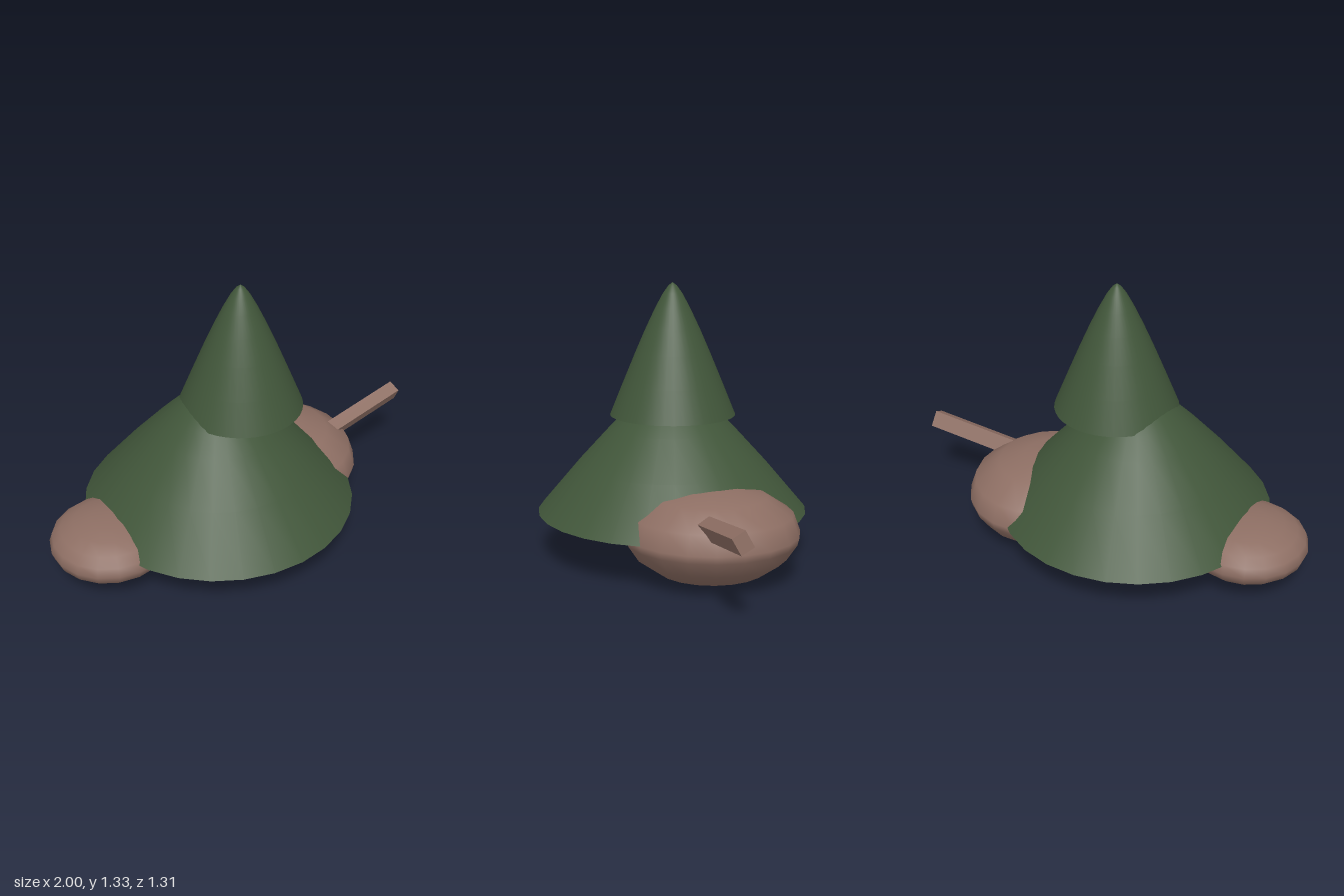
import * as THREE from 'three';

const green = new THREE.MeshStandardMaterial({ color: 0x41563a });
green.name = 'foliageGreen';
const brown = new THREE.MeshStandardMaterial({ color: 0x8d6e63 });
brown.name = 'earthBrown';

// Surface of revolution from [radius, height] pairs, listed bottom to top
function lathe(profile, segments) {
  return new THREE.LatheGeometry(profile.map(([r, y]) => new THREE.Vector2(r, y)), segments);
}

// Foliage tier: round-tipped cone with a flat underside
function tier(name, profile, x, segments) {
  const group = new THREE.Group();
  group.name = name;
  group.position.x = x;
  const cone = new THREE.Mesh(lathe(profile, segments), green);
  cone.name = name + 'Cone';
  const base = new THREE.Mesh(new THREE.CircleGeometry(profile[0][0], segments), green);
  base.name = name + 'Underside';
  base.rotation.x = Math.PI / 2;
  base.position.y = profile[0][1];
  group.add(cone, base);
  return group;
}

// Squashed rock
function rock(name, geometry, position, scale) {
  const mesh = new THREE.Mesh(geometry, brown);
  mesh.name = name;
  mesh.position.set(...position);
  mesh.scale.set(...scale);
  return mesh;
}

export function createModel() {
  const model = new THREE.Group();
  model.name = 'tree';

  // Foliage
  model.add(
    tier('lowerFoliage', [
      [0.655, 0.22], [0.46, 0.45], [0.3, 0.625], [0.215, 0.71], [0.14, 0.775], [0.07, 0.82], [0, 0.84],
    ], -0.127, 28),
    tier('upperFoliage', [
      [0.296, 0.71], [0.235, 0.86], [0.175, 1.005], [0.125, 1.12], [0.08, 1.215],
      [0.045, 1.28], [0.02, 1.315], [0, 1.33],
    ], -0.01, 40),
  );

  // Rocks at the foot
  const boulder = lathe([
    [0, -1], [0.62, -0.81], [0.86, -0.48], [0.98, -0.13], [1, 0.04],
    [0.92, 0.46], [0.62, 0.84], [0.3, 0.97], [0, 1],
  ], 20);
  model.add(
    rock('largeRock', boulder, [0.28, 0.21, -0.17], [0.383, 0.21, 0.407]),
    rock('smallRock', new THREE.SphereGeometry(1, 18, 10), [-0.715, 0.19, 0.09], [0.285, 0.132, 0.288]),
  );

  // Square, slightly leaning trunk
  const trunkGeometry = new THREE.CylinderGeometry(0.085, 0.105, 0.4, 4).toNonIndexed();
  trunkGeometry.computeVertexNormals();
  trunkGeometry.rotateY(Math.PI / 6);
  trunkGeometry.translate(0, 0.2, 0);
  const trunk = new THREE.Mesh(trunkGeometry, brown);
  trunk.name = 'trunk';
  trunk.position.set(-0.147, 0.062, 0.02);
  trunk.rotation.z = -0.13;
  model.add(trunk);

  // Square branch reaching out of the large rock
  const length = 0.65;
  const along = new THREE.Vector3(0.5, 0.08, -0.135).normalize();
  const side = new THREE.Vector3().crossVectors(along, new THREE.Vector3(0, 0.07, 0.038)).normalize();
  const up = new THREE.Vector3().crossVectors(side, along);
  const branch = new THREE.Mesh(new THREE.BoxGeometry(length, 0.08, 0.066), brown);
  branch.name = 'branch';
  branch.quaternion.setFromRotationMatrix(new THREE.Matrix4().makeBasis(along, up, side));
  branch.position.set(0.985, 0.385, -0.25).addScaledVector(along, -length / 2);
  model.add(branch);

  return model;
}
